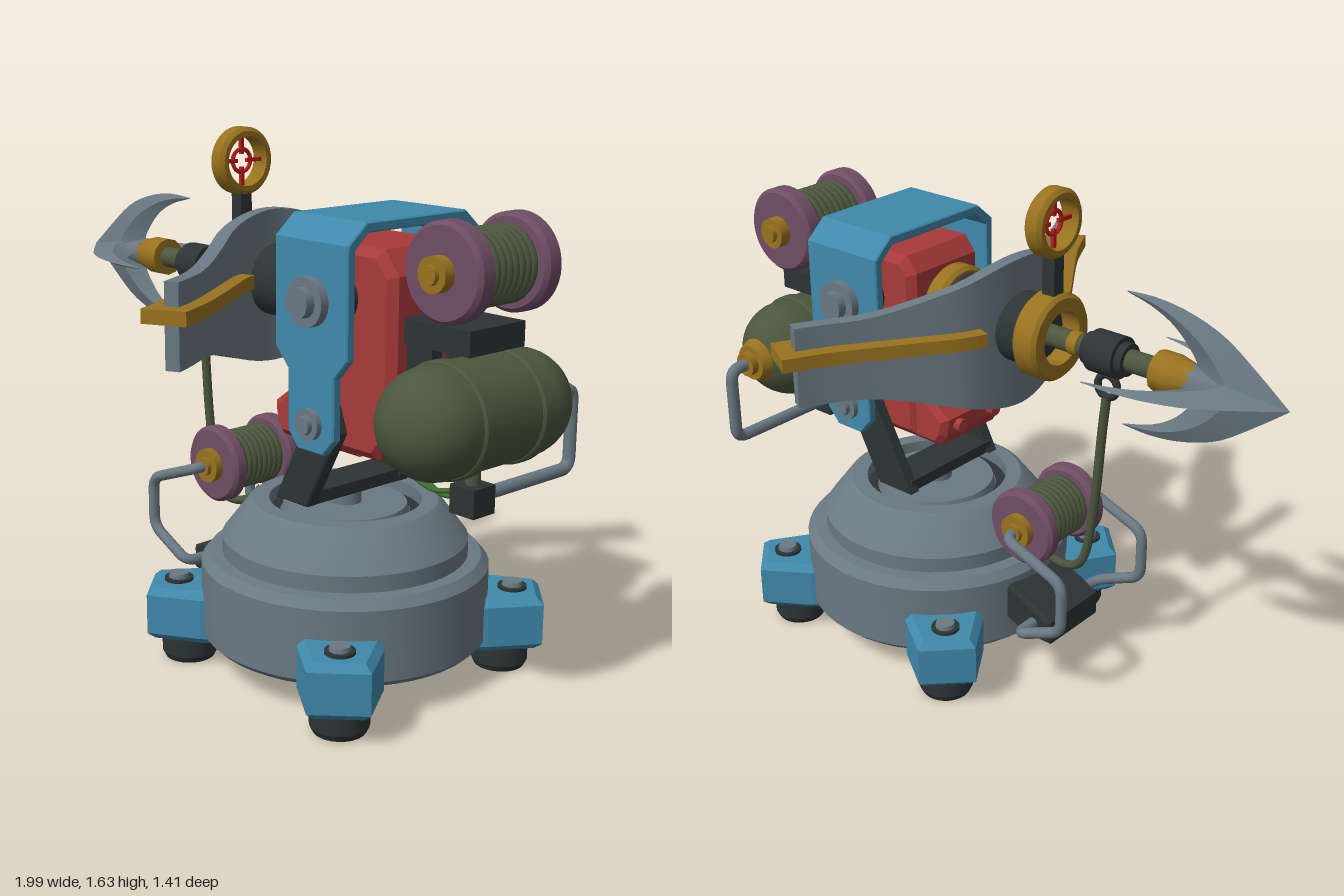
import * as THREE from 'three';
import { toCreasedNormals } from 'three/addons/utils/BufferGeometryUtils.js';

const V = (x, y, z) => new THREE.Vector3(x, y, z);
const material = (name, color) => Object.assign(new THREE.MeshStandardMaterial({ color }), { name });

export function createModel() {
  const root = new THREE.Group();
  root.name = 'harpoonTurret';
  const steel = material('steel grey', 0x6a7983);
  const blue = material('painted blue', 0x4089ab);
  const red = material('body red', 0xa83a3a);
  const gold = material('brass', 0x98721f);
  const dark = material('dark iron', 0x2d3434);
  const purple = material('reel purple', 0x6f4d64);
  const green = material('olive green', 0x4b563d);
  const cableGreen = material('cable green', 0x3f7030);
  const scarlet = material('sight red', 0xbb1c1c);

  const add = (name, geo, mat, pos = [0, 0, 0], parent = root) => {
    const m = new THREE.Mesh(geo, mat);
    m.name = name;
    m.position.set(...pos);
    parent.add(m);
    return m;
  };
  const box = (name, mat, size, pos, parent) => add(name, new THREE.BoxGeometry(...size), mat, pos, parent);
  // Cylinder along one axis; r0 is the radius at the negative end
  const cyl = (name, mat, axis, r0, r1, len, pos, parent, seg = 24) => {
    const g = new THREE.CylinderGeometry(r1, r0, len, seg);
    if (axis === 'x') g.rotateZ(-Math.PI / 2);
    if (axis === 'z') g.rotateX(Math.PI / 2);
    return add(name, g, mat, pos, parent);
  };
  const lathe = (pts, seg = 40) =>
    toCreasedNormals(new THREE.LatheGeometry(pts.map(p => new THREE.Vector2(...p)), seg), 0.45);
  const ring = (ro, ri, w, c = 0.012) => lathe([
    [ri, -w / 2], [ro - c, -w / 2], [ro, -w / 2 + c], [ro, w / 2 - c], [ro - c, w / 2], [ri, w / 2], [ri, -w / 2],
  ]).rotateZ(-Math.PI / 2);
  // Bevelled plate centred on z = 0
  const slab = (pts, depth, b = 0.01) => new THREE.ExtrudeGeometry(
    new THREE.Shape(pts.map(p => new THREE.Vector2(...p))),
    { depth: depth - 2 * b, bevelThickness: b, bevelSize: b, bevelOffset: -b, bevelSegments: 1 },
  ).translate(0, 0, b - depth / 2);
  const tube = (name, mat, pts, r, tension = 0.5, parent) => add(name, new THREE.TubeGeometry(
    new THREE.CatmullRomCurve3(pts.map(p => V(...p)), false, 'catmullrom', tension), pts.length * 8, r, 8), mat, [0, 0, 0], parent);
  // Straight pipe with rounded corners
  const pipe = (name, mat, pts, r, bend = 0.04) => {
    const v = pts.map(p => V(...p)), path = new THREE.CurvePath();
    let from = v[0];
    for (let i = 1; i < v.length - 1; i++) {
      const a = v[i].clone().add(v[i - 1].clone().sub(v[i]).setLength(bend));
      const b = v[i].clone().add(v[i + 1].clone().sub(v[i]).setLength(bend));
      path.add(new THREE.LineCurve3(from, a));
      path.add(new THREE.QuadraticBezierCurve3(a, v[i], b));
      from = b;
    }
    path.add(new THREE.LineCurve3(from, v[v.length - 1]));
    return add(name, new THREE.TubeGeometry(path, 64, r, 10), mat);
  };
  // Skin over four-cornered cross-sections, turned outward by its signed volume
  const loft = (sections, crease = 0.5) => {
    const pos = sections.flat().flatMap(p => [p.x, p.y, p.z]), idx = [], last = (sections.length - 1) * 4;
    for (let i = 0; i < sections.length - 1; i++) for (let j = 0; j < 4; j++) {
      const a = i * 4 + j, b = i * 4 + (j + 1) % 4;
      idx.push(a, b, b + 4, a, b + 4, a + 4);
    }
    idx.push(0, 2, 1, 0, 3, 2, last, last + 1, last + 2, last, last + 2, last + 3);
    const all = sections.flat();
    let vol = 0;
    for (let i = 0; i < idx.length; i += 3) vol += all[idx[i]].dot(all[idx[i + 1]].clone().cross(all[idx[i + 2]]));
    if (vol < 0) idx.reverse();
    const g = new THREE.BufferGeometry();
    g.setAttribute('position', new THREE.Float32BufferAttribute(pos, 3));
    g.setIndex(idx);
    return toCreasedNormals(g, crease);
  };

  // Base drum and turntable
  const cx = 0.312;
  add('baseDrum', lathe([[0, 0.1], [0.425, 0.1], [0.445, 0.12], [0.445, 0.34], [0.42, 0.368], [0.38, 0.37], [0.38, 0.42],
    [0.3, 0.525], [0.285, 0.535], [0.235, 0.535], [0.235, 0.49], [0, 0.49]], 48), steel, [cx, 0, 0]);
  add('turntableGroove', new THREE.RingGeometry(0.2, 0.235, 40).rotateX(-Math.PI / 2), dark, [cx, 0.495, 0]);
  cyl('turntable', steel, 'y', 0.2, 0.19, 0.035, [cx, 0.505, 0], root, 40);

  // Four feet on the diagonals
  for (let k = 0; k < 4; k++) {
    const foot = new THREE.Group();
    foot.name = 'foot';
    foot.position.x = cx;
    foot.rotation.y = Math.PI / 4 + k * Math.PI / 2;
    root.add(foot);
    add('footBlock', slab([[0.3, -0.125], [0.44, -0.125], [0.61, -0.09], [0.61, 0.09], [0.44, 0.125], [0.3, 0.125]], 0.17, 0.022)
      .rotateX(-Math.PI / 2), blue, [0, 0.165, 0], foot);
    cyl('footPad', dark, 'y', 0.078, 0.088, 0.02, [0.488, 0.01, 0], foot);
    cyl('footPadTop', dark, 'y', 0.088, 0.088, 0.07, [0.488, 0.055, 0], foot);
    cyl('footWasher', dark, 'y', 0.045, 0.045, 0.01, [0.52, 0.254, 0], foot);
    cyl('footBolt', steel, 'y', 0.034, 0.03, 0.022, [0.52, 0.262, 0], foot, 12);
  }

  // Rope reel: two flanges, brass hub and wound rope
  const reel = (name, x, y, r, inner, outer, hub, hubR) => {
    const g = new THREE.Group();
    g.name = name;
    g.position.set(x, y, 0);
    root.add(g);
    const n = 8, pitch = 2 * inner / n;
    cyl('reelDrum', green, 'z', r * 0.7, r * 0.7, 2 * inner, [0, 0, 0], g);
    for (let i = 0; i < n; i++)
      add('ropeTurn', new THREE.TorusGeometry(r * 0.7, pitch * 0.55, 8, 28), green, [0, 0, -inner + (i + 0.5) * pitch], g);
    for (const s of [-1, 1]) {
      add('reelFlange', ring(r, 0.02, outer - inner).rotateY(Math.PI / 2), purple, [0, 0, s * (inner + outer) / 2], g);
      cyl('reelHub', gold, 'z', hubR, hubR, hub - outer + 0.02, [0, 0, s * (hub + outer - 0.02) / 2], g);
      cyl('reelAxle', gold, 'z', hubR * 0.55, hubR * 0.55, 0.02, [0, 0, s * (hub + 0.005)], g);
    }
  };
  reel('frontReel', -0.17, 0.553, 0.125, 0.085, 0.14, 0.165, 0.055);
  reel('rearReel', 0.837, 1.318, 0.14, 0.1, 0.168, 0.205, 0.05);

  // Front reel bracket and its two bent rods
  add('reelBracket', slab([[-0.285, 0.16], [-0.18, 0.16], [-0.08, 0.2], [-0.08, 0.32], [-0.12, 0.32], [-0.285, 0.24]], 0.26), dark);
  for (const s of [-1, 1]) pipe('reelRod', steel, [[-0.17, 0.553, s * 0.15], [-0.17, 0.553, s * 0.21], [-0.395, 0.47, s * 0.21],
    [-0.395, 0.3, s * 0.21], [-0.22, 0.22, s * 0.21], [-0.22, 0.22, s * 0.1]], 0.018);

  // Rope from the reel to the harpoon
  tube('harpoonRope', green, [[-0.08, 0.47, 0], [-0.15, 0.41, 0], [-0.25, 0.39, 0], [-0.32, 0.45, 0], [-0.355, 0.66, 0],
    [-0.375, 0.9, 0], [-0.388, 1.03, 0]], 0.015);
  add('ropeRing', new THREE.TorusGeometry(0.036, 0.012, 8, 20), dark, [-0.39, 1.065, 0]);

  // Harpoon: four swept barbs, core, socket and shaft
  const ay = 1.17;
  const edge = pts => new THREE.CatmullRomCurve3(pts.map(p => V(p[0], p[1], 0)));
  const outer = edge([[-1, 0], [-0.89, 0.085], [-0.78, 0.16], [-0.66, 0.202], [-0.55, 0.217], [-0.45, 0.213]]);
  const inner = edge([[-0.68, 0], [-0.7, 0.045], [-0.665, 0.1], [-0.61, 0.15], [-0.54, 0.185], [-0.45, 0.209]]);
  const barb = [];
  for (let i = 0; i <= 16; i++) {
    const t = i / 16, o = outer.getPoint(t), n = inner.getPoint(t), m = o.clone().lerp(n, 0.55), w = 0.034 * (1 - t * 0.95);
    barb.push([o, m.clone().setZ(w), n, m.clone().setZ(-w)]);
  }
  const barbGeo = loft(barb, 0.4);
  for (let k = 0; k < 4; k++) add('harpoonBarb', barbGeo, steel, [0, ay, 0]).rotation.x = k * Math.PI / 2;
  cyl('harpoonCore', steel, 'x', 0.002, 0.05, 0.31, [-0.84, ay, 0], root, 8);
  cyl('harpoonSocket', gold, 'x', 0.045, 0.062, 0.07, [-0.665, ay, 0], root, 12);
  cyl('harpoonSocketRear', gold, 'x', 0.062, 0.062, 0.06, [-0.6, ay, 0], root, 12);
  cyl('harpoonShaft', green, 'x', 0.034, 0.034, 0.6, [-0.32, ay, 0]);
  cyl('shaftBand', gold, 'x', 0.037, 0.037, 0.035, [-0.275, ay, 0]);
  cyl('shaftSleeve', dark, 'x', 0.05, 0.05, 0.15, [-0.393, ay, 0]);
  cyl('shaftCollar', dark, 'x', 0.065, 0.065, 0.1, [-0.393, ay, 0]);

  // Barrel and muzzle ring
  add('muzzleRing', ring(0.137, 0.085, 0.09), gold, [-0.172, ay, 0]);
  cyl('barrel', dark, 'x', 0.112, 0.112, 0.42, [0.06, ay, 0], root, 32);
  add('barrelCollar', ring(0.132, 0.1, 0.07), gold, [0.205, ay, 0]);

  // Ring sight with crosshair
  const sx = -0.178;
  box('sightPost', dark, [0.045, 0.14, 0.045], [sx, 1.36, 0]);
  add('sightRing', ring(0.106, 0.078, 0.064), gold, [sx, 1.526, 0]);
  add('sightCircle', new THREE.TorusGeometry(0.036, 0.007, 6, 24).rotateY(Math.PI / 2), scarlet, [sx, 1.526, 0]);
  for (let k = 0; k < 4; k++) {
    const a = k * Math.PI / 2;
    box('sightBar', scarlet, [0.012, 0.06, 0.012], [sx, 1.526 + 0.05 * Math.cos(a), 0.05 * Math.sin(a)]).rotation.x = a;
  }

  // Bow: tall curved plate with a flat brass band around each arm
  const half = [[0.3, 0.675], [0.235, 0.55], [0.17, 0.45], [0.08, 0.32], [0.0, 0.2], [-0.028, 0.1]];
  const bow = new THREE.CatmullRomCurve3([...half.map(p => V(p[0], 0, -p[1])), V(-0.038, 0, 0),
    ...half.slice().reverse().map(p => V(p[0], 0, p[1]))]);
  const ribbon = (u0, u1, hw, yMid, height, n) => {
    const out = [];
    for (let i = 0; i <= n; i++) {
      const u = u0 + (u1 - u0) * i / n, p = bow.getPoint(u), t = bow.getTangent(u), side = V(t.z, 0, -t.x).multiplyScalar(hw);
      const h = height(Math.abs(p.z));
      const at = (s, y) => p.clone().addScaledVector(side, s).setY(yMid + y);
      out.push([at(1, h), at(-1, h), at(-1, -h), at(1, -h)]);
    }
    return loft(out);
  };
  add('bowPlate', ribbon(0.03, 0.97, 0.022, 1.15, z => 0.24 - 0.115 * THREE.MathUtils.smoothstep(z, 0, 0.5), 36), steel);
  for (const [a, b] of [[0, 0.365], [0.635, 1]]) add('bowBand', ribbon(a, b, 0.068, 1.185, () => 0.021, 16), gold);

  // Red body
  add('body', slab([[0.25, 0.74], [0.59, 0.74], [0.655, 0.82], [0.655, 1.28], [0.6, 1.35], [0.29, 1.35], [0.25, 1.3]], 0.32, 0.025), red);
  add('bodyNose', slab([[0.17, 0.73], [0.5, 0.73], [0.5, 1.05], [0.3, 1.05], [0.24, 0.93], [0.19, 0.87], [0.135, 0.83], [0.145, 0.77]],
    0.29, 0.02), red);
  for (const s of [-1, 1]) cyl('noseBolt', red, 'x', 0.022, 0.022, 0.03, [0.13, 0.8, s * 0.08], root, 12);

  // Blue yoke over the body
  add('yokeTop', slab([[-0.27, 1.1], [-0.27, 1.37], [-0.2, 1.43], [0.2, 1.43], [0.27, 1.37], [0.27, 1.1],
    [0.24, 1.1], [0.24, 1.355], [0.19, 1.4], [-0.19, 1.4], [-0.24, 1.355], [-0.24, 1.1]], 0.3, 0.004).rotateY(Math.PI / 2), blue, [0.442, 0, 0]);
  for (const s of [-1, 1]) {
    add('yokeSide', slab([[0.292, 1.12], [0.292, 1.05], [0.348, 0.99], [0.348, 0.81], [0.39, 0.76], [0.495, 0.76], [0.54, 0.81],
      [0.54, 0.99], [0.592, 1.05], [0.592, 1.12]], 0.03, 0.004), blue, [0, 0, s * 0.255]);
    cyl('pivotShaft', dark, 'z', 0.075, 0.075, 0.1, [0.445, 1.2, s * 0.19]);
    cyl('pivotFlange', steel, 'z', 0.072, 0.072, 0.03, [0.445, 1.2, s * 0.283]);
    cyl('pivotBolt', steel, 'z', 0.045, 0.045, 0.05, [0.445, 1.2, s * 0.302], root, 12);
    cyl('lowerFlange', steel, 'z', 0.047, 0.047, 0.02, [0.445, 0.845, s * 0.278]);
    cyl('lowerBolt', steel, 'z', 0.028, 0.028, 0.03, [0.445, 0.845, s * 0.29], root, 12);
    // Slanted legs below the yoke
    add('strut', slab([[0.23, 0.562], [0.37, 0.562], [0.5, 0.81], [0.47, 0.89], [0.4, 0.89]], 0.045, 0.005), dark, [0, 0, s * 0.194]);
    cyl('strutPin', dark, 'z', 0.035, 0.035, 0.04, [0.445, 0.845, s * 0.23]);
  }
  box('strutCrossbar', dark, [0.13, 0.038, 0.39], [0.305, 0.582, 0]);
  cyl('turntablePost', steel, 'y', 0.05, 0.05, 0.06, [cx, 0.545, 0]);

  // Rear arm, tank and plumbing
  box('rearArm', dark, [0.26, 0.072, 0.225], [0.767, 1.128, 0]);
  const tx = 0.825, ty = 0.908;
  add('tank', new THREE.CapsuleGeometry(0.16, 0.34, 10, 32).rotateX(Math.PI / 2), green, [tx, ty, 0]);
  for (const s of [-1, 1]) {
    add('tankBand', ring(0.168, 0.15, 0.045, 0.006).rotateY(Math.PI / 2), green, [tx, ty, s * 0.12]);
    box('tankMount', dark, [0.1, 0.12, 0.04], [0.7, 1.03, s * 0.08]);
  }
  cyl('tankCap', gold, 'z', 0.06, 0.085, 0.06, [tx, ty, -0.315]);
  cyl('tankNozzle', gold, 'z', 0.04, 0.04, 0.03, [tx, ty, -0.355]);
  pipe('tankPipe', steel, [[tx, ty, -0.34], [tx, ty, -0.43], [tx, 0.66, -0.43], [tx, 0.66, 0]], 0.02);
  box('valve', dark, [0.09, 0.085, 0.09], [tx, 0.658, 0]);
  cyl('valveStem', green, 'y', 0.022, 0.022, 0.1, [tx, 0.72, 0]);
  for (const s of [-1, 1]) tube('cable', cableGreen, [[0.79, 0.665 + s * 0.012, s * 0.018], [0.69, 0.645 + s * 0.012, s * 0.02],
    [0.61, 0.685 + s * 0.01, s * 0.03], [0.565 + s * 0.01, 0.77, s * 0.04]], 0.008);

  return root;
}
